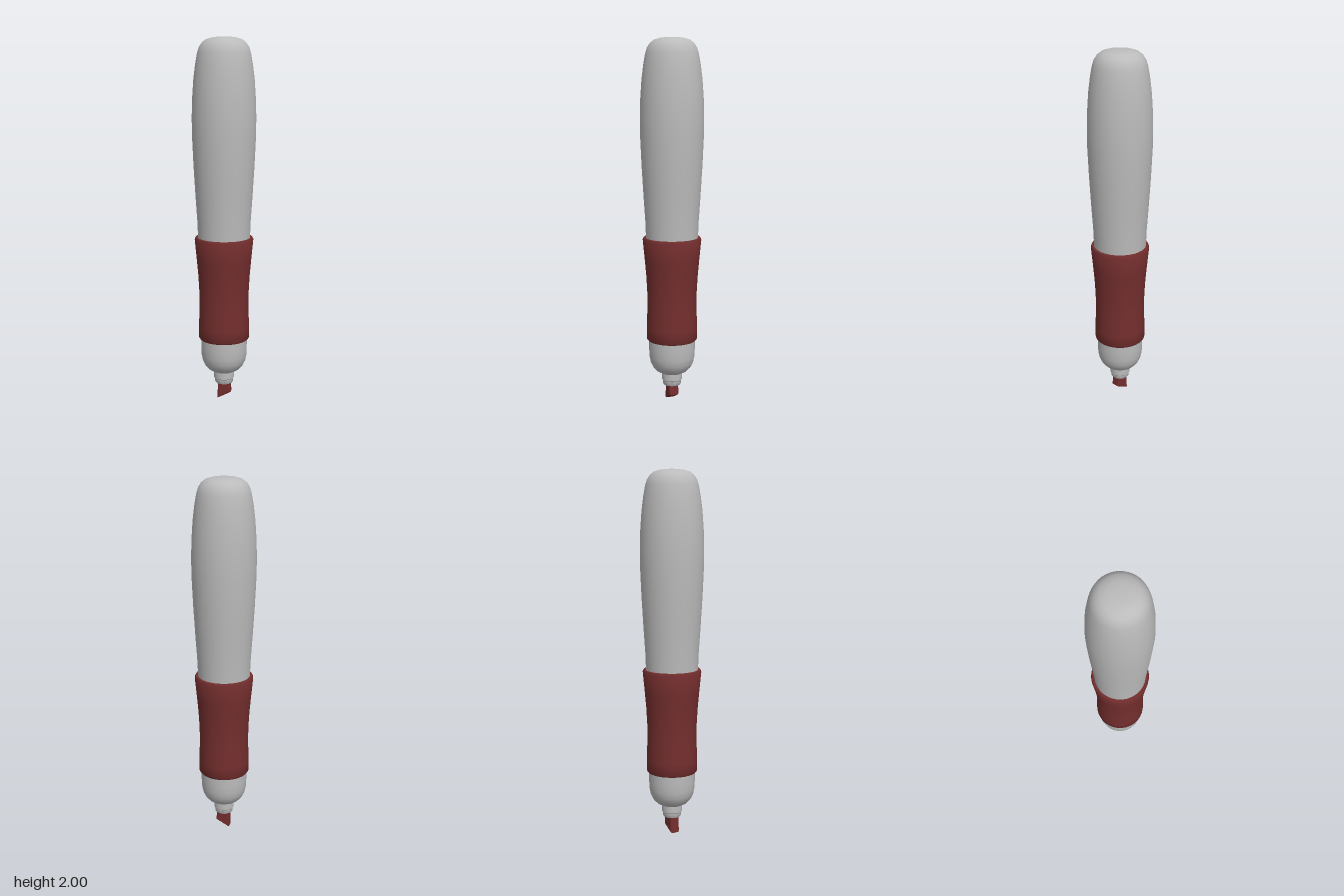
import * as THREE from 'three';
import { toCreasedNormals } from 'three/addons/utils/BufferGeometryUtils.js';

const SIDES = 32;

// Turned part from [radius, y] points listed bottom to top
function turned(name, points, material, crease = 0.7) {
  const lathe = new THREE.LatheGeometry(points.map(([r, y]) => new THREE.Vector2(r, y)), SIDES);
  const mesh = new THREE.Mesh(toCreasedNormals(lathe, crease), material);
  mesh.name = name;
  return mesh;
}

export function createModel() {
  const model = new THREE.Group();
  model.name = 'marker';
  const grey = new THREE.MeshStandardMaterial({ color: 0xbbbbbb });
  grey.name = 'light grey plastic';
  const red = new THREE.MeshStandardMaterial({ color: 0x742e2e });
  red.name = 'dark red rubber';

  // Upper barrel, swelling towards a rounded end
  model.add(turned('barrel', [
    [0.142, 0.88], [0.145, 1.0], [0.155, 1.15], [0.165, 1.32], [0.172, 1.48],
    [0.173, 1.58], [0.17, 1.68], [0.163, 1.78], [0.153, 1.86], [0.143, 1.915],
    [0.134, 1.945], [0.118, 1.97], [0.096, 1.987], [0.066, 1.996], [0.034, 2.0], [0, 2.0],
  ], grey));

  // Waisted grip sleeve with small chamfers at both rims
  model.add(turned('grip', [
    [0.12, 0.35], [0.134, 0.35], [0.14, 0.358], [0.14, 0.42], [0.136, 0.54], [0.137, 0.62],
    [0.142, 0.71], [0.15, 0.8], [0.161, 0.914], [0.156, 0.926], [0.138, 0.926],
  ], red));

  // Rounded nose below the grip
  model.add(turned('nose', [
    [0.045, 0.157], [0.06, 0.159], [0.085, 0.172], [0.105, 0.193], [0.119, 0.221],
    [0.126, 0.256], [0.128, 0.3], [0.128, 0.37],
  ], grey));

  // Stepped collar holding the nib
  model.add(turned('collar', [
    [0, 0.09], [0.046, 0.09], [0.05, 0.096], [0.051, 0.115], [0.056, 0.12], [0.056, 0.165],
  ], grey));

  // Slanted chisel nib with softened edges
  const bevel = 0.006;
  const outline = new THREE.Shape([
    [-0.03, 0.007], [0.034, 0.041], [0.026, 0.1], [-0.026, 0.1],
  ].map(([x, y]) => new THREE.Vector2(x, y)));
  const depth = 0.042;
  const nibShape = new THREE.ExtrudeGeometry(outline, {
    depth, bevelEnabled: true, bevelSize: bevel, bevelThickness: bevel, bevelSegments: 1,
  });
  nibShape.translate(0, 0, -depth / 2);
  const nib = new THREE.Mesh(nibShape, red);
  nib.name = 'nib';
  model.add(nib);

  return model;
}
